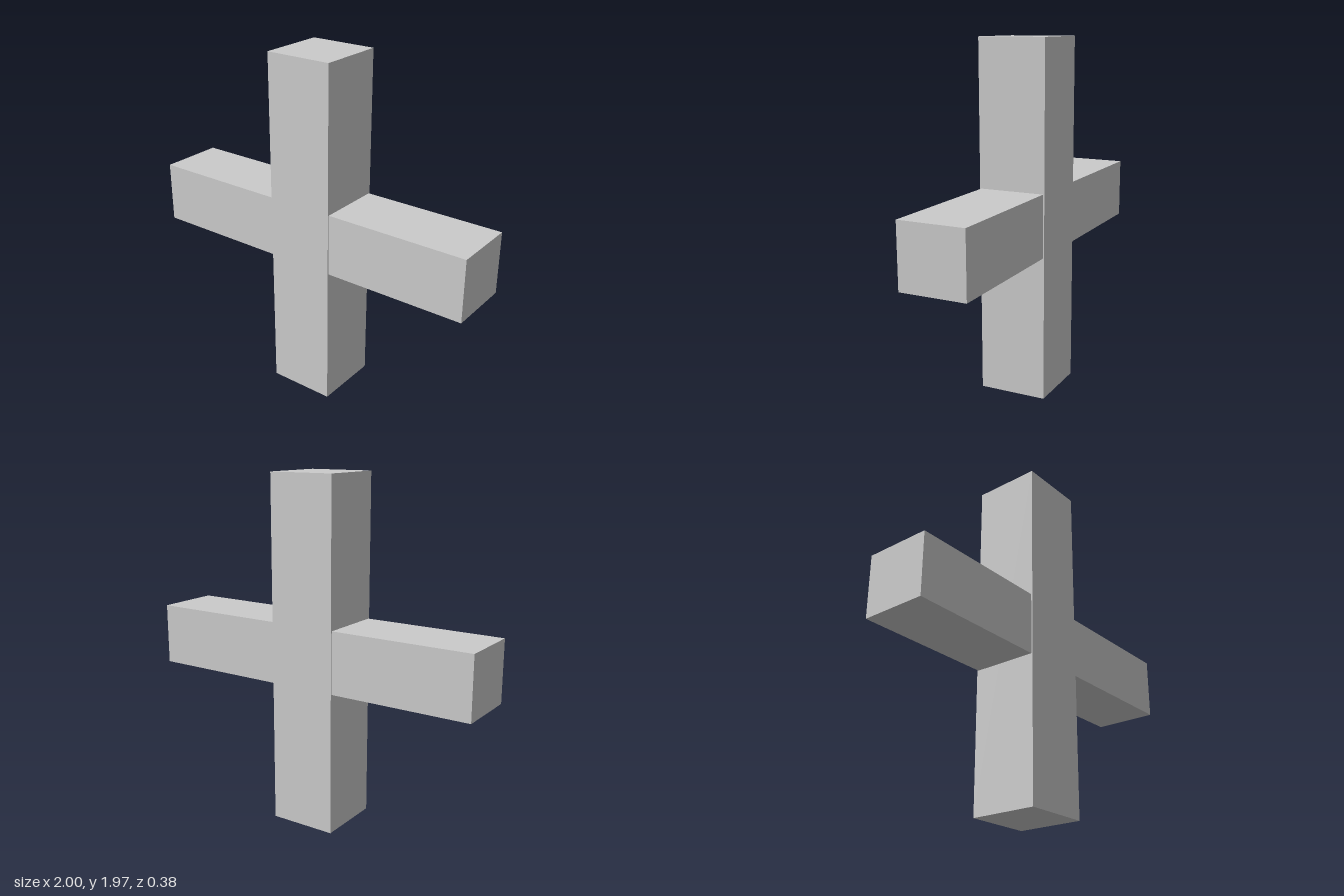
import * as THREE from 'three';

export function createModel() {
  const group = new THREE.Group();
  group.name = 'crossedBeams';
  const material = new THREE.MeshStandardMaterial({ color: 0xcccccc, flatShading: true });
  const height = 1.97;

  // Both beams share the same centre at half the post's height
  const addBeam = (name, w, h, d) => {
    const mesh = new THREE.Mesh(new THREE.BoxGeometry(w, h, d), material);
    mesh.name = name;
    mesh.position.y = height / 2;
    group.add(mesh);
  };

  // Upright post, and a slightly slimmer crossbar running through it
  addBeam('post', 0.385, height, 0.385);
  addBeam('crossbar', 2, 0.35, 0.37);

  return group;
}
